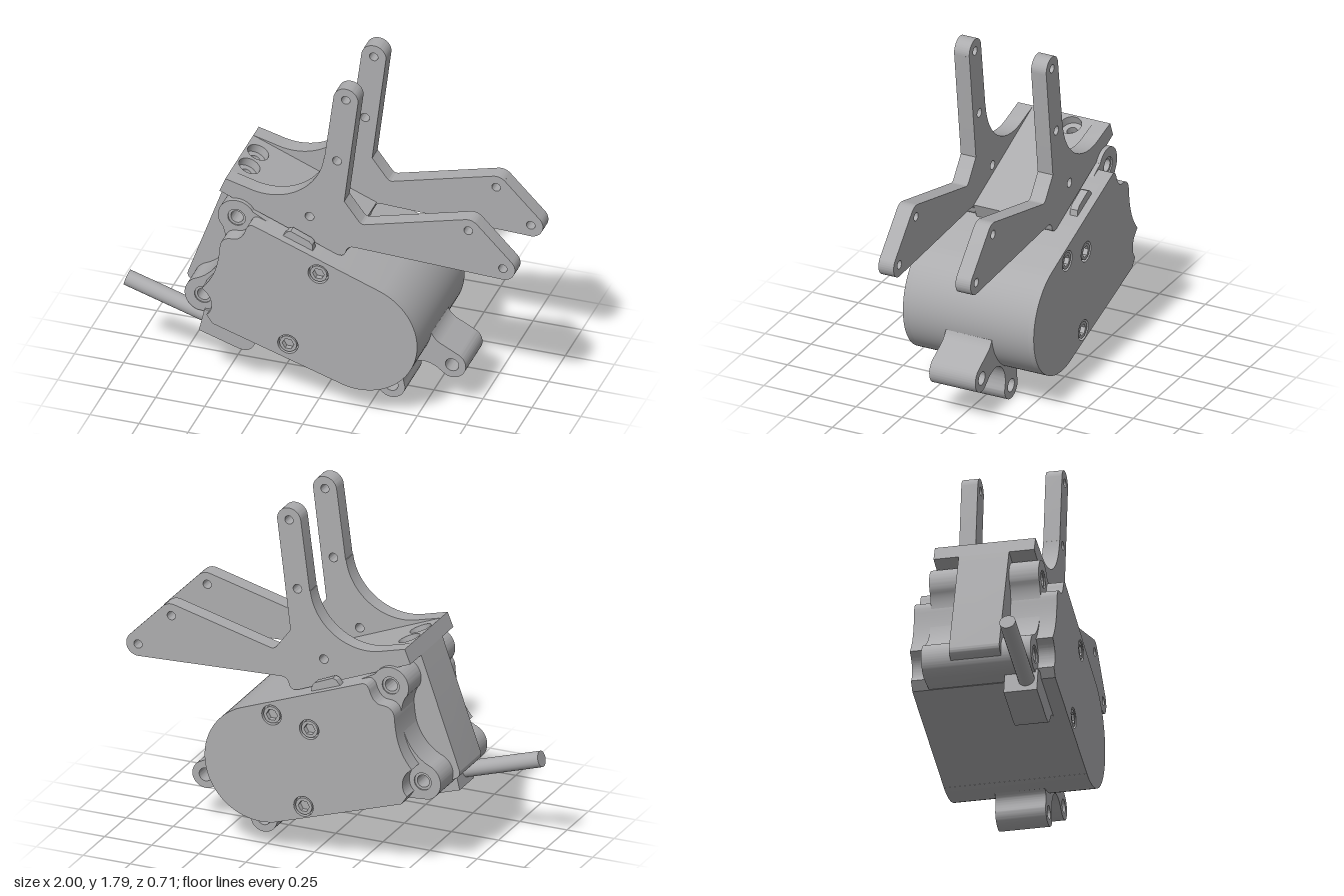
import * as THREE from 'three';
import { toCreasedNormals } from 'three/addons/utils/BufferGeometryUtils.js';

const rad = THREE.MathUtils.degToRad;

export function createModel() {
  const model = new THREE.Group();
  model.name = 'gearboxAssembly';
  const grey = new THREE.MeshStandardMaterial({ color: 0xacacae });
  grey.name = 'plainGrey';

  const add = (name, geometry, parent = model) => {
    const mesh = new THREE.Mesh(geometry, grey);
    mesh.name = name;
    parent.add(mesh);
    return mesh;
  };
  const circle = (x, y, r, sides = 32) => {
    const p = new THREE.Path();
    for (let i = 0; i < sides; i++) {
      const a = (i / sides) * Math.PI * 2;
      p[i ? 'lineTo' : 'moveTo'](x + r * Math.cos(a), y + r * Math.sin(a));
    }
    p.closePath();
    return p;
  };
  // Extrudes a side profile between two depths
  const slab = (name, shape, z0, z1, holes = [], parent = model) => {
    const s = shape.clone();
    s.holes = holes.map(h => circle(...h));
    const g = new THREE.ExtrudeGeometry(s, { depth: z1 - z0, bevelEnabled: false, curveSegments: 20 });
    g.translate(0, 0, z0);
    return add(name, toCreasedNormals(g, rad(28)), parent);
  };
  const polygon = pts => new THREE.Shape(pts.map(p => new THREE.Vector2(...p)));

  // Housing: rounded nose, scalloped mounting end
  const housing = new THREE.Shape();
  housing.moveTo(-0.51, 0.385);
  housing.lineTo(0.15, 0.173);
  housing.absarc(0.235, 0.46, 0.3, rad(-106.5), rad(68.5), false);
  housing.lineTo(-0.30, 0.982);
  housing.quadraticCurveTo(-0.325, 0.99, -0.34, 0.955);
  housing.quadraticCurveTo(-0.36, 0.885, -0.41, 0.887);
  housing.quadraticCurveTo(-0.465, 0.885, -0.472, 0.835);
  housing.bezierCurveTo(-0.48, 0.72, -0.50, 0.65, -0.565, 0.575);
  housing.quadraticCurveTo(-0.515, 0.54, -0.515, 0.49);
  housing.quadraticCurveTo(-0.515, 0.45, -0.54, 0.43);
  housing.closePath();
  slab('housing', housing, -0.325, 0.325);

  // Side covers with sunk socket screws
  const covers = [
    ['front', 1, [[0.03, 0.775], [-0.125, 0.345]]],
    ['back', -1, [[0.18, 0.73], [-0.02, 0.69], [0.01, 0.28]]],
  ];
  for (const [side, s, spots] of covers) {
    const span = (a, b) => (s > 0 ? [a, b] : [-b, -a]);
    slab(side + 'Cover', housing, ...span(0.325, 0.355), spots.map(p => [...p, 0.052]));
    for (const [x, y] of spots) {
      const head = new THREE.Shape(circle(x, y, 0.043).getPoints());
      slab(side + 'Screw', head, ...span(0.325, 0.352), [[x, y, 0.03, 6]]);
    }
  }

  // Mounting ears with bored, collared holes
  const earSpots = [[-0.415, 0.96], [-0.585, 0.485]];
  const ears = new THREE.Shape();
  ears.moveTo(-0.2, 0.45);
  ears.lineTo(-0.2, 0.935);
  ears.lineTo(-0.333, 1.007);
  ears.absarc(-0.415, 0.96, 0.095, rad(30), rad(205), false);
  ears.bezierCurveTo(-0.44, 0.85, -0.47, 0.64, -0.62, 0.573);
  ears.absarc(-0.585, 0.485, 0.095, rad(112), rad(250), false);
  ears.lineTo(-0.48, 0.385);
  ears.closePath();
  slab('mountingEars', ears, -0.272, 0.272, earSpots.map(p => [...p, 0.045]));
  for (const [x, y] of earSpots) {
    const collar = new THREE.Shape(circle(x, y, 0.045).getPoints());
    slab('earCollar', collar, -0.265, 0.265, [[x, y, 0.032]]);
  }

  // Flat-ended spine between the ears
  const spine = new THREE.Shape();
  spine.moveTo(-0.51, 1.08);
  spine.lineTo(-0.712, 0.51);
  spine.quadraticCurveTo(-0.725, 0.475, -0.68, 0.455);
  spine.lineTo(-0.5, 0.385);
  spine.lineTo(-0.25, 0.4);
  spine.lineTo(-0.25, 0.975);
  spine.closePath();
  slab('spine', spine, -0.125, 0.125, earSpots.map(p => [...p, 0.032]));

  // Pair of lugs under the nose
  const lugs = new THREE.Shape();
  lugs.moveTo(0.3, 0.3);
  lugs.lineTo(0.42, 0.42);
  lugs.lineTo(0.53, 0.405);
  lugs.quadraticCurveTo(0.545, 0.37, 0.58, 0.352);
  lugs.lineTo(0.667, 0.307);
  lugs.absarc(0.635, 0.245, 0.07, rad(63), rad(-117), true);
  lugs.lineTo(0.56, 0.215);
  lugs.quadraticCurveTo(0.48, 0.265, 0.42, 0.205);
  lugs.quadraticCurveTo(0.37, 0.15, 0.395, 0.07);
  lugs.absarc(0.325, 0.07, 0.07, 0, -Math.PI, true);
  lugs.quadraticCurveTo(0.285, 0.145, 0.23, 0.165);
  lugs.closePath();
  slab('lugs', lugs, -0.125, 0.125, [[0.635, 0.245, 0.034], [0.325, 0.07, 0.034]]);

  // Twin bracket arms: upright prong and flared fork
  const arm = new THREE.Shape();
  arm.moveTo(-0.51, 1.08);
  arm.lineTo(0.08, 0.842);
  arm.quadraticCurveTo(0.125, 0.825, 0.135, 0.86);
  arm.quadraticCurveTo(0.142, 0.896, 0.18, 0.895);
  arm.lineTo(0.935, 0.865);
  arm.absarc(0.937, 0.927, 0.062, rad(-92), rad(45), false);
  arm.lineTo(0.804, 1.152);
  arm.absarc(0.76, 1.108, 0.062, rad(45), rad(105), false);
  arm.lineTo(0.235, 1.036);
  arm.quadraticCurveTo(0.215, 1.03, 0.2, 1.05);
  arm.lineTo(0.127, 1.147);
  arm.lineTo(0.197, 1.717);
  arm.absarc(0.135, 1.725, 0.063, rad(-7), rad(173), false);
  arm.lineTo(0.025, 1.37);
  arm.absarc(-0.275, 1.41, 0.3, rad(-8), rad(-108), true);
  arm.lineTo(-0.48, 1.154);
  arm.closePath();
  const armHoles = [[0.135, 1.725, 0.022], [0.09, 1.37, 0.023], [-0.05, 1.025, 0.023],
    [0.76, 1.108, 0.022], [0.937, 0.927, 0.022]];
  slab('frontBracketArm', arm, 0.168, 0.25, armHoles);
  slab('backBracketArm', arm, -0.25, -0.168, armHoles);

  // Sloping bracket base with two counterbored holes
  const base = new THREE.Group();
  base.name = 'bracketBase';
  base.position.set(-0.51, 1.08, 0);
  base.rotation.z = -Math.atan2(0.375, 0.927);
  model.add(base);
  const flat = new THREE.Group();
  flat.name = 'bracketPlate';
  flat.rotation.x = -Math.PI / 2;
  base.add(flat);
  const plate = polygon([[0, -0.168], [0.68, -0.168], [0.68, 0.168], [0, 0.168]]);
  const bores = r => [[0.065, 0.065, r], [0.065, -0.065, r]];
  slab('bracketPlateLower', plate, 0, 0.035, bores(0.026), flat);
  slab('bracketPlateUpper', plate, 0.035, 0.08, bores(0.055), flat);

  // Small latch tabs on the upper edge
  const tab = polygon([[-0.17, 0.91], [-0.01, 0.85], [-0.015, 0.905], [-0.03, 0.922],
    [-0.125, 0.962], [-0.145, 0.955], [-0.165, 0.93]]);
  slab('frontTab', tab, 0.272, 0.312);
  slab('backTab', tab, -0.312, -0.272);

  // Cable outlet and cable
  const outlet = new THREE.Shape();
  outlet.moveTo(-0.575, 0.41);
  outlet.lineTo(-0.603, 0.288);
  outlet.lineTo(-0.40, 0.224);
  outlet.quadraticCurveTo(-0.34, 0.21, -0.318, 0.265);
  outlet.quadraticCurveTo(-0.30, 0.30, -0.25, 0.302);
  outlet.lineTo(-0.25, 0.42);
  outlet.closePath();
  slab('cableOutlet', outlet, 0.12, 0.285);

  const from = new THREE.Vector3(-0.988, 0.479, 0.23);
  const to = new THREE.Vector3(-0.55, 0.342, 0.23);
  const cable = add('cable', new THREE.CylinderGeometry(0.04, 0.04, from.distanceTo(to), 24));
  cable.position.copy(from).lerp(to, 0.5);
  cable.quaternion.setFromUnitVectors(new THREE.Vector3(0, 1, 0), to.clone().sub(from).normalize());

  return model;
}
